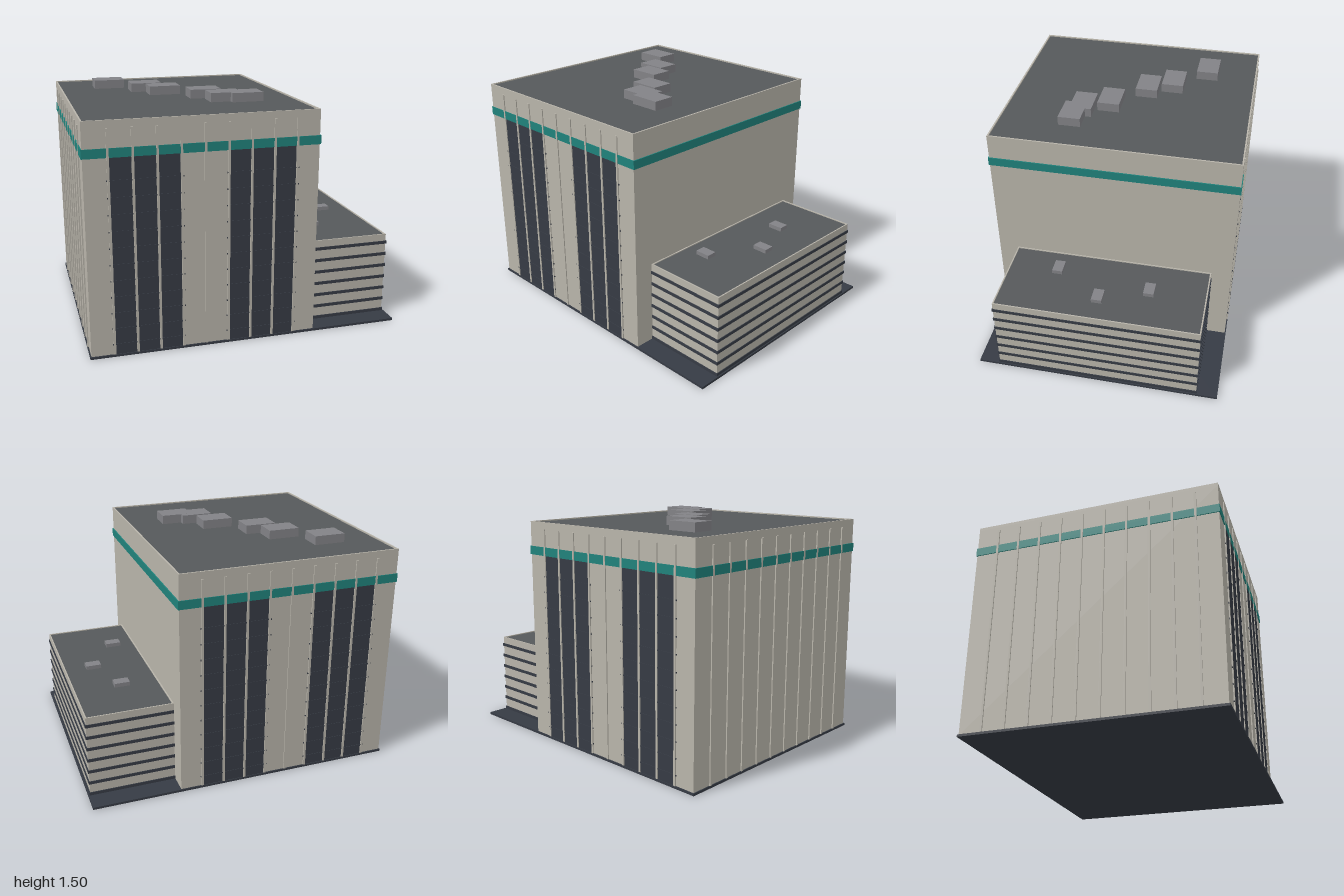
import * as THREE from 'three';

const mat = (name, color) => {
  const m = new THREE.MeshStandardMaterial({ color });
  m.name = name;
  return m;
};

export function createModel() {
  const wall = mat('concrete', 0xb8b4aa);
  const dark = mat('dark glass', 0x363b44);
  const roofing = mat('roofing', 0x56595b);
  const teal = mat('teal trim', 0x20827b);
  const metal = mat('roof unit grey', 0x828286);

  const model = new THREE.Group();
  model.name = 'officeBuilding';

  // Box given by its lower and upper limits on each axis
  const box = (name, material, x0, x1, y0, y1, z0, z1) => {
    const g = new THREE.BoxGeometry(x1 - x0, y1 - y0, z1 - z0);
    g.translate((x0 + x1) / 2, (y0 + y1) / 2, (z0 + z1) / 2);
    const m = new THREE.Mesh(g, material);
    m.name = name;
    model.add(m);
    return m;
  };

  // Thin parapet frame around a roof
  const parapet = (name, x0, x1, y0, y1, z0, z1, t) => {
    box(name, wall, x0, x1, y0, y1, z1 - t, z1);
    box(name, wall, x0, x1, y0, y1, z0, z0 + t);
    box(name, wall, x0, x0 + t, y0, y1, z0 + t, z1 - t);
    box(name, wall, x1 - t, x1, y0, y1, z0 + t, z1 - t);
  };

  // Ground slab
  box('baseSlab', dark, -1, 1, 0, 0.015, -0.8, 0.8);

  // Main tower with recessed roof
  const L = -0.993, R = 0.433, Z = 0.793;
  box('towerBody', wall, L, R, 0.01, 1.43, -Z, Z);
  box('towerRoof', roofing, L + 0.01, R - 0.01, 1.43, 1.442, -Z + 0.01, Z - 0.01);
  parapet('towerParapet', L, R, 1.43, 1.45, -Z, Z, 0.01);
  box('tealBand', teal, -0.999, 0.44, 1.235, 1.29, -0.798, 0.798);

  // Front and back facades: fins, window bays and floor bars
  const pitch = 0.1427, firstFin = -0.85;
  for (const s of [1, -1]) {
    const face = (name, material, x0, x1, y0, y1, out) =>
      box(name, material, x0, x1, y0, y1, Math.min(s * 0.785, s * out), Math.max(s * 0.785, s * out));
    for (let i = 0; i < 9; i++) {
      const x = firstFin + i * pitch;
      face('facadeFin', wall, x - 0.007, x + 0.007, 0.015, 1.405, 0.8);
    }
    for (const start of [0, 5]) {
      const x0 = firstFin + start * pitch;
      for (let i = 0; i < 3; i++) {
        const c = x0 + (i + 0.5) * pitch;
        face('windowBay', dark, c - 0.063, c + 0.063, 0.015, 1.235, 0.7955);
      }
      for (let i = 0; i < 11; i++) {
        const y = 0.08 + i * 0.102;
        face('floorBar', dark, x0 - 0.012, x0 + 3 * pitch + 0.012, y - 0.004, y + 0.004, 0.7985);
      }
    }
  }

  // Fins on the blank left-hand side wall
  for (let i = 0; i < 10; i++) {
    const z = (i - 4.5) * 0.1445;
    box('sideFin', wall, -1.001, -0.985, 0.015, 1.405, z - 0.007, z + 0.007);
  }

  // Low annex with strip windows and recessed roof
  const A = 0.988, D = 0.663;
  box('annexBody', wall, R, A, 0.01, 0.55, -D, D);
  box('annexRoof', roofing, R + 0.008, A - 0.008, 0.55, 0.557, -D + 0.008, D - 0.008);
  parapet('annexParapet', R, A, 0.55, 0.563, -D, D, 0.008);
  for (let i = 0; i < 7; i++) {
    const y = 0.025 + i * 0.0802;
    box('stripWindow', dark, R, A + 0.005, y - 0.01, y + 0.01, -D - 0.005, D + 0.005);
  }

  // Rooftop units
  const towerUnits = [[-0.655, -0.46], [-0.435, -0.25], [-0.34, -0.09],
    [-0.115, 0.12], [-0.025, 0.285], [0.105, 0.325]];
  towerUnits.forEach(([x, z], i) =>
    box('towerRoofUnit', metal, x - 0.102, x + 0.102, 1.44, 1.499 + i * 0.0002, z - 0.072, z + 0.072));
  for (const [x, z] of [[0.675, -0.292], [0.795, 0.021], [0.585, 0.333]])
    box('annexRoofUnit', metal, x - 0.05, x + 0.05, 0.555, 0.583, z - 0.034, z + 0.034);

  return model;
}
